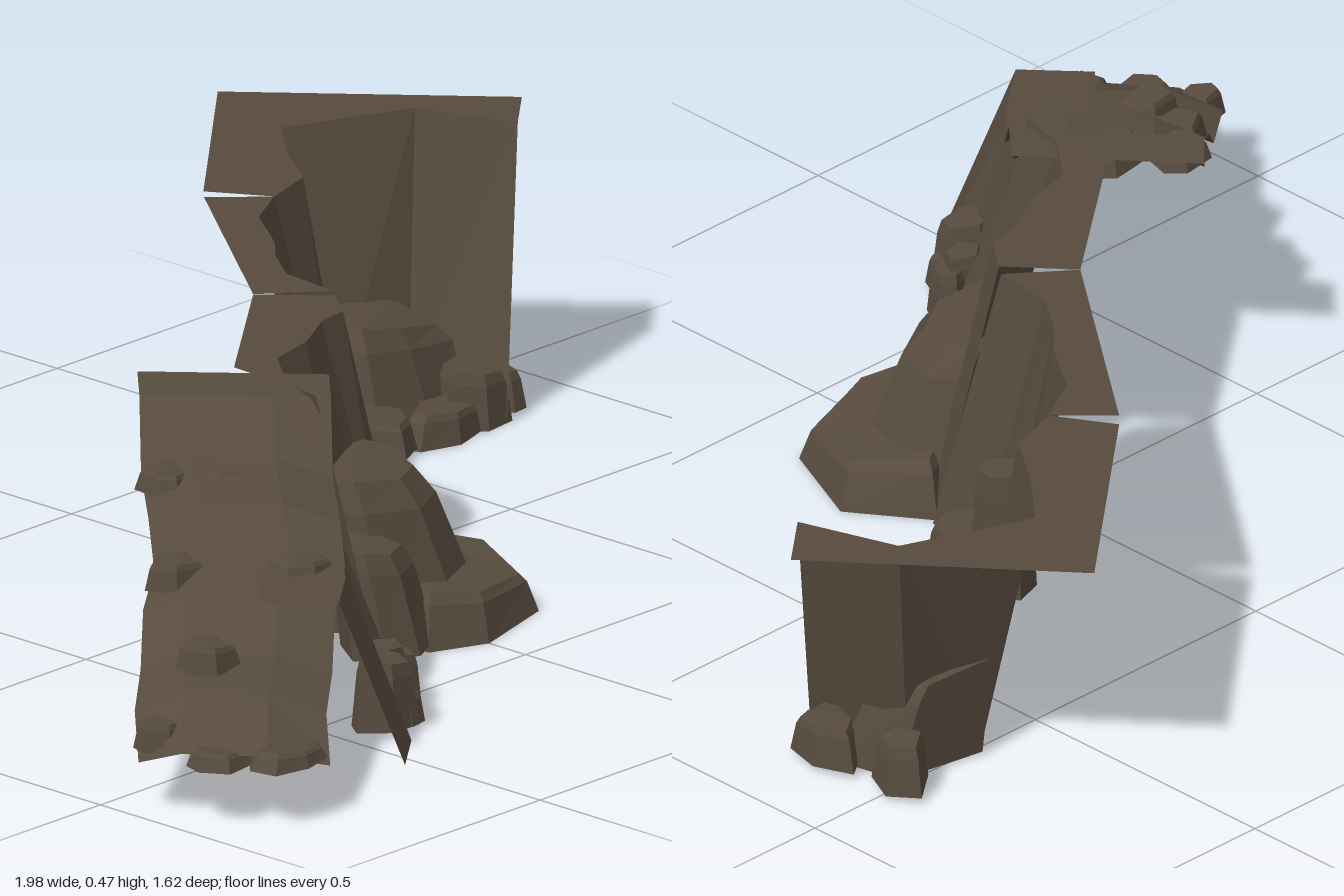
import * as THREE from 'three';

const stone = new THREE.MeshStandardMaterial({ color: 0x574b3e, side: THREE.DoubleSide, flatShading: true });
stone.name = 'dark brown stone';

function mesh(name, geometry) {
  const m = new THREE.Mesh(geometry, stone);
  m.name = name;
  return m;
}

// Skin between successive rings of points, optionally closed around and capped
function loft(rings, closed, cap) {
  const pos = [];
  const n = rings[0].length;
  for (let r = 0; r + 1 < rings.length; r++) {
    for (let i = 0; i < (closed ? n : n - 1); i++) {
      const j = (i + 1) % n;
      const a = rings[r][i], b = rings[r][j], c = rings[r + 1][j], d = rings[r + 1][i];
      pos.push(...a, ...b, ...c, ...a, ...c, ...d);
    }
  }
  if (cap) {
    const top = rings[rings.length - 1];
    for (let i = 1; i + 1 < n; i++) pos.push(...top[0], ...top[i], ...top[i + 1]);
  }
  const g = new THREE.BufferGeometry();
  g.setAttribute('position', new THREE.Float32BufferAttribute(pos, 3));
  g.computeVertexNormals();
  return g;
}

// Flat ledge from a plan outline of [x, z] pairs
function ledge(name, outline, y) {
  const shape = new THREE.Shape(outline.map(([x, z]) => new THREE.Vector2(x, -z)));
  return mesh(name, new THREE.ShapeGeometry(shape).rotateX(-Math.PI / 2).translate(0, y, 0));
}

// Leaning wall: each point is [topX, topZ, bottomX, bottomZ]
function wall(name, points, top, bottom) {
  return mesh(name, loft([
    points.map(p => [p[2], bottom, p[3]]),
    points.map(p => [p[0], top, p[1]]),
  ], false, false));
}

// Boulder: footprint tapering to a smaller top that is lower towards the open front
function boulder(name, foot, y0, y1, taper, shift = [0, 0], tilt = 0.15) {
  const cx = foot.reduce((s, p) => s + p[0], 0) / foot.length;
  const cz = foot.reduce((s, p) => s + p[1], 0) / foot.length;
  const ring = (y, k, t) => foot.map(([x, z]) => [
    cx + (x - cx) * k + shift[0] * t,
    y - Math.max(0, x - cx + z - cz) * k * t * tilt,
    cz + (z - cz) * k + shift[1] * t,
  ]);
  return mesh(name, loft([
    ring(y0, 1, 0),
    ring(y0 + (y1 - y0) * 0.8, taper * 0.6 + 0.4, 0.7),
    ring(y1, taper, 1),
  ], true, true));
}

function random(seed) {
  let s = seed * 7919 + 17;
  return () => (s = (s * 16807) % 2147483647) / 2147483647;
}

// Uneven round footprint for smaller rocks
function roundFoot(x, z, rx, rz, sides, seed) {
  const rnd = random(seed);
  return Array.from({ length: sides }, (_, i) => {
    const a = -(i + rnd() * 0.4) / sides * Math.PI * 2;
    const k = 0.88 + rnd() * 0.24;
    return [x + Math.cos(a) * rx * k, z + Math.sin(a) * rz * k];
  });
}

export function createModel() {
  const cliff = new THREE.Group();
  cliff.name = 'cliff';

  // Long right wall, curving into an alcove
  const right = [
    [0.10, -0.02, 0.18, 0.055], [0.11, -0.13, 0.175, -0.05], [0.16, -0.20, 0.21, -0.14],
    [0.21, -0.25, 0.26, -0.20], [0.28, -0.35, 0.34, -0.25], [0.37, -0.40, 0.43, -0.30],
    [0.47, -0.43, 0.50, -0.35], [0.54, -0.53, 0.56, -0.43], [0.62, -0.62, 0.62, -0.50],
    [0.84, -0.53, 0.76, -0.47], [0.90, -0.36, 0.80, -0.29],
  ];
  cliff.add(wall('rightWall', right, 0.475, 0.015));
  cliff.add(ledge('rightCornerLedge', [
    [0.31, -0.50], [0.68, -0.815], [0.995, -0.44],
    ...right.slice(5).reverse().map(p => [p[0], p[1]]),
  ], 0.475));
  cliff.add(ledge('rightLedge', [
    [0, -0.10], [0.29, -0.48], ...right.slice(0, 6).reverse().map(p => [p[0], p[1]]),
  ], 0.475));

  // Middle wall, meeting the low left wall
  const middle = [
    [-0.29, 0.31, -0.22, 0.385], [-0.265, 0.22, -0.19, 0.31], [-0.20, 0.14, -0.13, 0.24],
    [-0.11, 0.12, -0.04, 0.20], [-0.02, 0.07, 0.05, 0.16], [0.04, 0.06, 0.11, 0.13],
    [0.085, 0.00, 0.155, 0.07],
  ];
  cliff.add(wall('middleWall', middle, 0.475, 0.015));
  cliff.add(ledge('middleLedge', [
    ...middle.map(p => [p[0], p[1]]), [0, -0.10], [-0.28, 0.12],
  ], 0.475));

  // Low left wall
  const left = [
    [-0.615, 0.665, -0.545, 0.745], [-0.52, 0.59, -0.45, 0.67], [-0.48, 0.55, -0.42, 0.60],
    [-0.43, 0.47, -0.36, 0.53], [-0.36, 0.42, -0.28, 0.49], [-0.30, 0.335, -0.21, 0.39],
  ];
  cliff.add(wall('leftWall', left, 0.29, 0.015));
  cliff.add(ledge('leftLedge', [
    ...left.map(p => [p[0], p[1]]), [-0.43, 0.30], [-0.70, 0.57],
  ], 0.29));

  // Stepped ramp: stations of [backX, backZ, height]
  const stations = [
    [-0.39, 0.01, 0.47], [-0.46, 0.08, 0.465], [-0.52, 0.14, 0.38], [-0.62, 0.25, 0.355],
    [-0.66, 0.30, 0.29], [-0.75, 0.36, 0.26], [-0.82, 0.42, 0.19], [-0.93, 0.51, 0.17],
    [-0.985, 0.57, 0.11],
  ];
  const across = [[0, -0.02], [0.25, 0.01], [0.7, 0.01], [1, -0.02]];
  const rampEnd = stations.length - 1;
  cliff.add(mesh('ramp', loft(stations.map(([x, z, y], i) => across.map(([t, dy]) => {
    const bulge = i === rampEnd ? Math.sin(t * Math.PI) : 0;
    return [x + 0.2 * t - 0.05 * bulge, i < 2 ? y : y + dy, z + 0.235 * t + 0.03 * bulge];
  })), false, false)));

  // Large boulders below the middle wall
  cliff.add(boulder('wideBoulder', [
    [0.155, 0.07], [0.00, 0.16], [-0.11, 0.25], [-0.10, 0.38], [0.00, 0.42], [0.17, 0.37], [0.245, 0.20],
  ], 0.005, 0.095, 0.8));
  cliff.add(boulder('tallBoulder', [
    [0.12, 0.10], [-0.08, 0.16], [-0.17, 0.22], [-0.12, 0.32], [0.01, 0.35], [0.12, 0.29], [0.16, 0.18],
  ], 0.02, 0.27, 0.68, [-0.05, -0.05]));
  cliff.add(boulder('sideBoulder', [
    [-0.08, 0.25], [-0.19, 0.27], [-0.235, 0.34], [-0.20, 0.38], [-0.14, 0.40], [-0.06, 0.36],
  ], 0.015, 0.19, 0.75, [-0.02, -0.03]));

  // Tall block at the back of the alcove
  cliff.add(boulder('alcoveBoulder', [
    [0.80, -0.49], [0.64, -0.52], [0.54, -0.43], [0.57, -0.35], [0.68, -0.34], [0.83, -0.37],
  ], 0.01, 0.19, 0.74, [-0.01, -0.045], 0.3));

  // Smaller rocks: [x, z, radiusX, radiusZ, bottom, top, sides]
  const rocks = [
    [0.55, -0.34, 0.07, 0.07, 0.015, 0.075, 6], [0.68, -0.32, 0.09, 0.05, 0.005, 0.06, 7],
    [0.77, -0.34, 0.07, 0.06, 0.005, 0.10, 6], [0.83, -0.36, 0.04, 0.07, 0.015, 0.085, 6],
    [0.81, -0.51, 0.05, 0.065, 0.015, 0.10, 5],
    [0.25, -0.175, 0.055, 0.06, 0.02, 0.24, 6], [0.24, -0.08, 0.07, 0.06, 0.015, 0.10, 6],
    [-0.42, 0.58, 0.06, 0.05, 0.015, 0.13, 6], [-0.39, 0.59, 0.05, 0.04, 0.015, 0.07, 6],
    [-0.32, 0.52, 0.035, 0.04, 0.015, 0.10, 6], [-0.35, 0.52, 0.05, 0.04, 0.015, 0.12, 5],
    [-0.43, 0.28, 0.08, 0.06, 0.35, 0.385, 6], [-0.52, 0.20, 0.05, 0.05, 0.35, 0.385, 6],
    [-0.66, 0.35, 0.06, 0.05, 0.26, 0.305, 5], [-0.53, 0.50, 0.06, 0.05, 0.28, 0.31, 6],
    [-0.78, 0.53, 0.05, 0.05, 0.19, 0.235, 6], [-0.94, 0.58, 0.05, 0.04, 0.11, 0.155, 6],
    [-0.84, 0.76, 0.08, 0.05, 0.10, 0.13, 7], [-0.92, 0.69, 0.06, 0.05, 0.10, 0.13, 6],
  ];
  rocks.forEach(([x, z, rx, rz, y0, y1, sides], i) => {
    cliff.add(boulder('smallRock' + (i + 1), roundFoot(x, z, rx, rz, sides, i + 1), y0, y1, 0.72));
  });

  return cliff;
}
